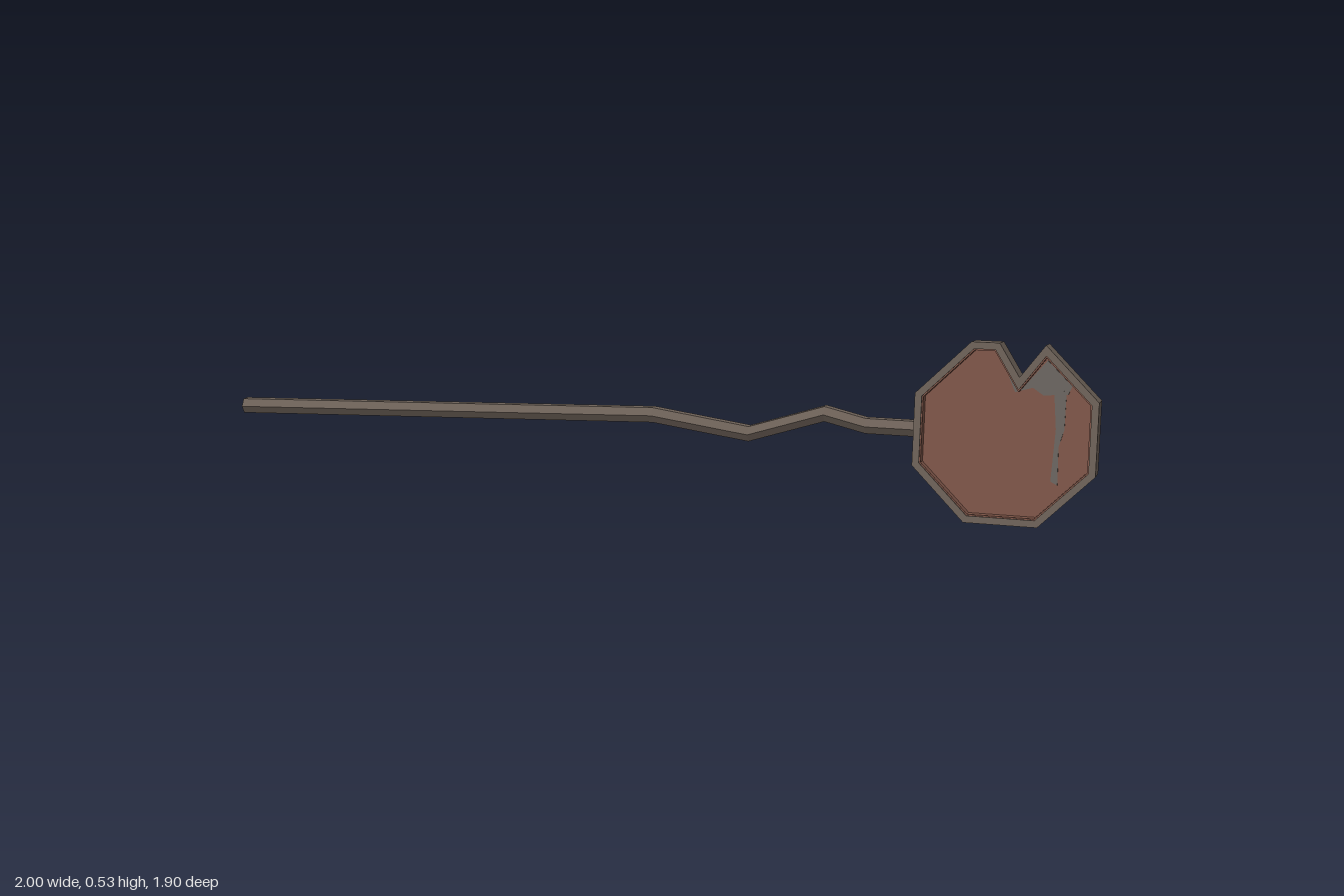
import * as THREE from 'three';

// Octagonal sign outline, counter-clockwise, with a torn notch in the top edge
const OUTLINE = [
  [-0.105, -0.26], [0.105, -0.26], [0.26, -0.105], [0.26, 0.105], [0.105, 0.26],
  [0.035, 0.165], [-0.025, 0.26], [-0.105, 0.26], [-0.26, 0.105], [-0.26, -0.105],
].map(([x, y]) => new THREE.Vector2(x, y));

// Moves every edge of the outline inward by d, with mitred corners
function inset(points, d) {
  const n = points.length;
  const normal = (a, b) => new THREE.Vector2(a.y - b.y, b.x - a.x).normalize();
  return points.map((p, i) => {
    const n1 = normal(points[(i + n - 1) % n], p);
    const n2 = normal(p, points[(i + 1) % n]);
    const m = n1.clone().add(n2);
    return p.clone().addScaledVector(m, d / (1 + n1.dot(n2)));
  });
}

// Flat-sided slab centred on the sign's middle plane
function slab(name, points, hole, depth, z, material) {
  const shape = new THREE.Shape(points);
  if (hole) shape.holes.push(new THREE.Path(hole));
  const geometry = new THREE.ExtrudeGeometry(shape, { depth, bevelEnabled: false });
  geometry.translate(0, 0, z - depth / 2);
  const mesh = new THREE.Mesh(geometry, material);
  mesh.name = name;
  return mesh;
}

// Six-sided bar whose rings all face along the pole's diagonal
function poleGeometry(path, radius, sides, yaw) {
  const across = new THREE.Vector3(Math.sin(yaw), 0, -Math.cos(yaw));
  const ring = path.map(([x, y, z]) => Array.from({ length: sides }, (_, i) => {
    const a = (i / sides) * Math.PI * 2;
    return new THREE.Vector3(x, y + radius * Math.sin(a), z)
      .addScaledVector(across, radius * Math.cos(a));
  }));
  const out = [];
  const tri = (...corners) => corners.forEach((c) => out.push(c.x, c.y, c.z));
  for (let r = 0; r < ring.length - 1; r++) {
    for (let i = 0; i < sides; i++) {
      const j = (i + 1) % sides;
      const [a, b, c, d] = [ring[r][i], ring[r][j], ring[r + 1][j], ring[r + 1][i]];
      tri(a, d, c);
      tri(a, c, b);
    }
  }
  const last = ring[ring.length - 1];
  for (let i = 1; i < sides - 1; i++) {
    tri(ring[0][0], ring[0][i], ring[0][i + 1]);
    tri(last[0], last[i + 1], last[i]);
  }
  const geometry = new THREE.BufferGeometry();
  geometry.setAttribute('position', new THREE.Float32BufferAttribute(out, 3));
  // Make the faces point outward whichever way the ring runs
  const p = out;
  const e1 = new THREE.Vector3(p[3] - p[0], p[4] - p[1], p[5] - p[2]);
  const e2 = new THREE.Vector3(p[6] - p[0], p[7] - p[1], p[8] - p[2]);
  const outward = ring[0][0].clone().sub(new THREE.Vector3(...path[0]));
  if (e1.cross(e2).dot(outward) < 0) {
    for (let i = 0; i < p.length; i += 9) {
      for (let k = 0; k < 3; k++) [p[i + 3 + k], p[i + 6 + k]] = [p[i + 6 + k], p[i + 3 + k]];
    }
    geometry.setAttribute('position', new THREE.Float32BufferAttribute(p, 3));
  }
  geometry.computeVertexNormals();
  return geometry;
}

export function createModel() {
  const make = (name, color) => {
    const m = new THREE.MeshStandardMaterial({ color });
    m.name = name;
    return m;
  };
  const metal = make('weathered metal', 0x6c6057);
  const rust = make('rusty red paint', 0x7c5447);
  const bare = make('bare grey metal', 0x68635e);

  const model = new THREE.Group();
  model.name = 'bentSign';

  // Crooked pole
  const pole = new THREE.Mesh(poleGeometry([
    [-0.985, 0.215, -0.94], [0, 0.265, 0], [0.215, 0.225, 0.205],
    [0.385, 0.297, 0.355], [0.47, 0.27, 0.445], [0.59, 0.27, 0.56],
  ], 0.026, 6, 0.8), metal);
  pole.name = 'pole';
  model.add(pole);

  // Sign head, leaning back slightly
  const sign = new THREE.Group();
  sign.name = 'signHead';
  sign.position.set(0.767, 0.27, 0.72);
  sign.rotation.set(-0.115, -0.766, 0, 'YXZ');
  model.add(sign);

  const inner = inset(OUTLINE, 0.02);
  const lining = inset(OUTLINE, 0.024);
  sign.add(slab('rim', OUTLINE, inner, 0.1, 0, metal));
  sign.add(slab('rimLining', inner, lining, 0.088, 0, rust));
  sign.add(slab('signPlate', inner, null, 0.012, 0, rust));

  // Patches where the paint has worn away
  const vec = (list) => list.map(([x, y]) => new THREE.Vector2(x, y));
  const streak = vec([
    [0.132, -0.13], [0.152, -0.14], [0.15, -0.03], [0.164, 0.02], [0.165, 0.13], [0.13, 0.13], [0.14, 0.02],
  ]);
  const backPatch = vec([
    [0.19, 0.135], [0.15, 0.10], [0.08, 0.09], [0.04, 0.035], [0, 0.09], [-0.05, 0.10],
    [-0.07, 0.14], [-0.13, 0.14], [-0.165, 0.165], [-0.10, 0.232], [-0.042, 0.232],
    [0.035, 0.125], [0.108, 0.222],
  ]);
  const frontPatch = vec([
    [0.0, 0.165], [0.02, 0.12], [0.07, 0.135], [0.1, 0.115], [0.17, 0.12], [0.18, 0.145],
    [0.108, 0.215], [0.035, 0.125],
  ]);
  sign.add(slab('frontWornPatch', frontPatch, null, 0.004, 0.007, bare));
  sign.add(slab('backWornPatch', backPatch, null, 0.004, -0.007, bare));
  sign.add(slab('frontWornStreak', streak, null, 0.005, 0.007, bare));
  sign.add(slab('backWornStreak', streak, null, 0.005, -0.007, bare));
  return model;
}
